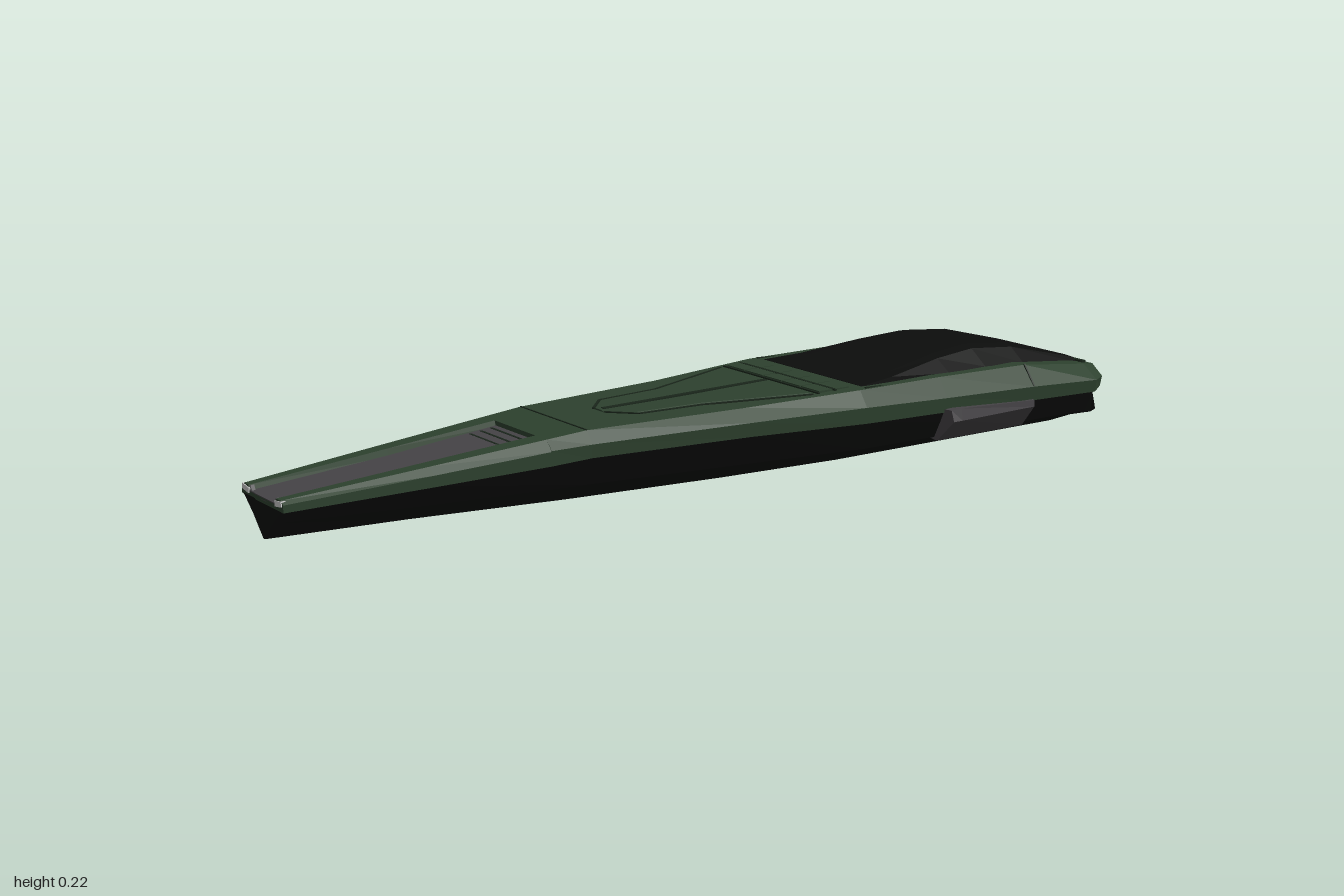
import * as THREE from 'three';

const mat = (color) => new THREE.MeshStandardMaterial({ color, flatShading: true, side: THREE.DoubleSide });
const green = mat(0x2d412e), darkGreen = mat(0x1a261b), black = mat(0x0c0d0c), grey = mat(0x464447), light = mat(0xcccccc);

// Loft through closed rings; stations run front to back, points clockwise seen from the front
function loftRings(stations) {
  const pos = [];
  const tri = (a, b, c) => pos.push(...a, ...b, ...c);
  const rings = stations.map(([z, pts]) => pts.map(([x, y]) => [x, y, z]));
  const n = rings[0].length;
  for (let i = 0; i < rings.length - 1; i++) {
    for (let j = 0; j < n; j++) {
      const k = (j + 1) % n;
      tri(rings[i][j], rings[i][k], rings[i + 1][k]);
      tri(rings[i][j], rings[i + 1][k], rings[i + 1][j]);
    }
  }
  for (const [ring, dir] of [[rings[0], 1], [rings[rings.length - 1], -1]]) {
    const flat = ring.map((p) => new THREE.Vector2(p[0], p[1]));
    for (const [a, b, c] of THREE.ShapeUtils.triangulateShape(flat, [])) {
      const ccw = THREE.ShapeUtils.area([flat[a], flat[b], flat[c]]) * dir > 0;
      tri(ring[a], ring[ccw ? b : c], ring[ccw ? c : b]);
    }
  }
  const g = new THREE.BufferGeometry();
  g.setAttribute('position', new THREE.Float32BufferAttribute(pos, 3));
  g.computeVertexNormals();
  return g;
}

// Symmetric loft: each half section runs from top centre over +x to bottom centre
const loft = (stations) => loftRings(stations.map(([z, half]) =>
  [z, [...half, ...half.slice(1, -1).reverse().map(([x, y]) => [-x, y])]]));

// Deck height and half width along the hull
const along = (table, z) => {
  for (let i = 0; i < table.length - 1; i++) {
    const [z0, v0] = table[i], [z1, v1] = table[i + 1];
    if (z <= z0 && z >= z1) return v0 + (v1 - v0) * (z0 - z) / (z0 - z1);
  }
  return table[table.length - 1][1];
};
const deckTable = [[1, 0.112], [0.36, 0.165], [0, 0.168], [-0.28, 0.176], [-0.7, 0.178], [-0.9, 0.16], [-0.99, 0.142]];
const deckY = (z) => along(deckTable, z);

export function createModel() {
  const model = new THREE.Group();
  const add = (name, geometry, material, parent = model) => {
    const mesh = new THREE.Mesh(geometry, material);
    mesh.name = name;
    parent.add(mesh);
    return mesh;
  };
  // Thin strip lying on the deck between two plan points
  const strip = (name, x0, z0, x1, z1, width, material, rise = 0.001) => {
    const a = new THREE.Vector3(x0, deckY(z0) + rise, z0), b = new THREE.Vector3(x1, deckY(z1) + rise, z1);
    const m = add(name, new THREE.BoxGeometry(width, 0.003, a.distanceTo(b)), material);
    m.position.copy(a).lerp(b, 0.5);
    m.lookAt(b);
    return m;
  };

  // Lower hull: z, belt half width, belt y, chine x, chine y, keel half width, keel y
  add('lowerHull', loft([
    [1, 0.084, 0.092, 0.044, 0.06, 0.003, 0.02],
    [0.7, 0.112, 0.1, 0.072, 0.052, 0.016, 0.013],
    [0.36, 0.145, 0.112, 0.108, 0.048, 0.045, 0.005],
    [0, 0.186, 0.112, 0.15, 0.045, 0.075, 0.001],
    [-0.3, 0.218, 0.108, 0.185, 0.042, 0.095, 0],
    [-0.75, 0.23, 0.1, 0.205, 0.045, 0.095, 0],
    [-0.94, 0.228, 0.092, 0.205, 0.045, 0.095, 0],
    [-1, 0.18, 0.036, 0.165, 0.026, 0.09, 0.004],
  ].map(([z, w, y, cx, cy, kx, ky]) => [z, [[0, y], [w, y], [cx, cy], [kx, ky], [0, ky]]])), black);

  // Nose shell with a sunken channel: z, floor y, channel half width, shoulder, belt half width, belt y
  const nose = [
    [1, 0.1, 0.056, 0.08, 0.09, 0.09],
    [0.7, 0.122, 0.066, 0.103, 0.118, 0.099],
    [0.45, 0.146, 0.075, 0.121, 0.14, 0.107],
  ];
  add('noseShell', loft(nose.map(([z, f, c, s, w, y]) =>
    [z, [[0, f], [c, f], [c + 0.004, deckY(z)], [s, deckY(z)], [w, (deckY(z) + y) / 2 + 0.004], [w, y], [0, y]]])), green);
  add('noseChannelFloor', loft(nose.map(([z, f, c]) =>
    [z, [[0, f + 0.002], [c, f + 0.002], [c, f - 0.004], [0, f - 0.004]]])), grey);
  for (let i = 0; i < 4; i++) {
    add('channelLouvre', new THREE.BoxGeometry(0.138 - i * 0.002, 0.003, 0.006), darkGreen)
      .position.set(0, 0.148 - i * 0.0025, 0.44 - i * -0.025);
  }

  // Upper body: z, shoulder half width, widest half width, widest y, belt half width, belt y
  add('upperBody', loft([
    [0.45, 0.121, 0.14, 0.138, 0.14, 0.107],
    [0.36, 0.127, 0.148, 0.14, 0.147, 0.112],
    [0, 0.162, 0.19, 0.142, 0.188, 0.112],
    [-0.28, 0.198, 0.222, 0.142, 0.22, 0.107],
    [-0.5, 0.2, 0.227, 0.135, 0.225, 0.103],
    [-0.75, 0.2, 0.236, 0.13, 0.232, 0.098],
    [-0.94, 0.196, 0.24, 0.122, 0.236, 0.094],
    [-0.975, 0.185, 0.222, 0.124, 0.216, 0.1],
    [-0.995, 0.17, 0.186, 0.13, 0.18, 0.112],
  ].map(([z, s, w, wy, b, by]) => [z, [[0, deckY(z)], [s, deckY(z)], [w, wy], [b, by], [0, by]]])), green);

  // Black canopy: z, base half width, roof half width, roof y
  add('canopy', loft([
    [-0.305, 0.176, 0.172, 0.177],
    [-0.4, 0.18, 0.158, 0.184],
    [-0.55, 0.176, 0.135, 0.206],
    [-0.66, 0.172, 0.125, 0.215],
    [-0.78, 0.166, 0.125, 0.204],
    [-0.96, 0.155, 0.14, 0.158],
  ].map(([z, b, r, y]) => {
    const base = deckY(z) - 0.002;
    return [z, [[0, y], [r * 0.8, y], [r, y - (y - base) * 0.15], [b, base], [0, base]]];
  })), black);

  // Raised bonnet panel with a shield outline and central spine
  const bonnet = [[0.25, 0.02], [0.2, 0.075], [0.05, 0.088], [-0.18, 0.165]];
  add('bonnetPanel', loft(bonnet.map(([z, x]) =>
    [z, [[0, deckY(z) + 0.003], [x - 0.008, deckY(z) + 0.003], [x, deckY(z) - 0.002], [0, deckY(z) - 0.002]]])), green);
  strip('bonnetSpine', 0, 0.24, 0, -0.18, 0.012, darkGreen, 0.003);
  strip('noseSeam', -0.127, 0.36, 0.127, 0.36, 0.003, darkGreen, 0);
  for (const s of [-1, 1]) {
    for (let i = 0; i < 3; i++) {
      const [z0, x0] = bonnet[i], [z1, x1] = bonnet[i + 1];
      strip('bonnetGroove', s * x0, z0, s * x1, z1, 0.005, darkGreen);
    }
    strip('shoulderTrim', s * 0.19, -0.3, s * 0.165, -0.97, 0.005, darkGreen);
  }

  // Cowl slats ahead of the canopy
  for (let row = 0; row < 2; row++) {
    for (let i = -2; i <= 2; i++) {
      const m = add('cowlSlat', new THREE.BoxGeometry(0.062, 0.006, 0.036), green);
      m.position.set(i * 0.066, deckY(-0.22) + 0.001, -0.215 - row * 0.045);
    }
    strip('cowlGroove', -0.17, -0.192 - row * 0.045, 0.17, -0.192 - row * 0.045, 0.005, darkGreen, 0.002);
  }

  for (const s of [-1, 1]) {
    // Side pod, widest at its blunt front
    const pod = [[-0.495, 0.248, 0.112, 0.257, 0.088, 0.203, 0.036], [-0.52, 0.252, 0.114, 0.257, 0.088, 0.203, 0.036],
      [-0.75, 0.238, 0.1, 0.238, 0.085, 0.2, 0.036]]
      .map(([z, ax, ay, bx, by, cx, cy]) => {
        const pts = [[0.19, 0.108], [ax, ay], [bx, by], [cx, cy], [0.17, 0.04]].map(([x, y]) => [s * x, y]);
        return [z, s > 0 ? pts : pts.reverse()];
      });
    add('sidePod', loftRings(pod), grey);
    // Headlamps
    const lamp = add('headlamp', new THREE.BoxGeometry(0.028, 0.011, 0.01), light);
    lamp.position.set(s * 0.071, 0.104, 0.997);
    lamp.rotation.z = s * 0.15;
    // Rear lamp halves
    add('rearLamp', new THREE.BoxGeometry(0.155, 0.008, 0.008), light).position.set(s * 0.081, 0.137, -0.994);
    // Door seams on the rear flank
    const seam = add('flankSeam', new THREE.BoxGeometry(0.003, 0.056, 0.004), darkGreen);
    seam.position.set(s * 0.218, 0.153, -0.75);
    seam.rotation.z = s * 0.65;
  }

  // V-shaped nose plate
  const v = new THREE.Shape([[-0.056, 0.112], [-0.084, 0.094], [0, 0.08], [0.084, 0.094], [0.056, 0.112], [0.05, 0.102], [-0.05, 0.102]]
    .map(([x, y]) => new THREE.Vector2(x, y)));
  add('nosePlate', new THREE.ExtrudeGeometry(v, { depth: 0.008, bevelEnabled: false }), grey).position.z = 0.99;

  // Rear deck edge and slats across the tail
  add('rearDeckTrim', new THREE.BoxGeometry(0.33, 0.005, 0.012), darkGreen).position.set(0, 0.148, -0.972);
  for (let i = 0; i < 3; i++) {
    const y = 0.076 - i * 0.015;
    add('tailSlat', new THREE.BoxGeometry(0.36 - i * 0.02, 0.004, 0.008), darkGreen)
      .position.set(0, y, -0.94 - 0.06 * (0.092 - y) / 0.056);
  }
  return model;
}
